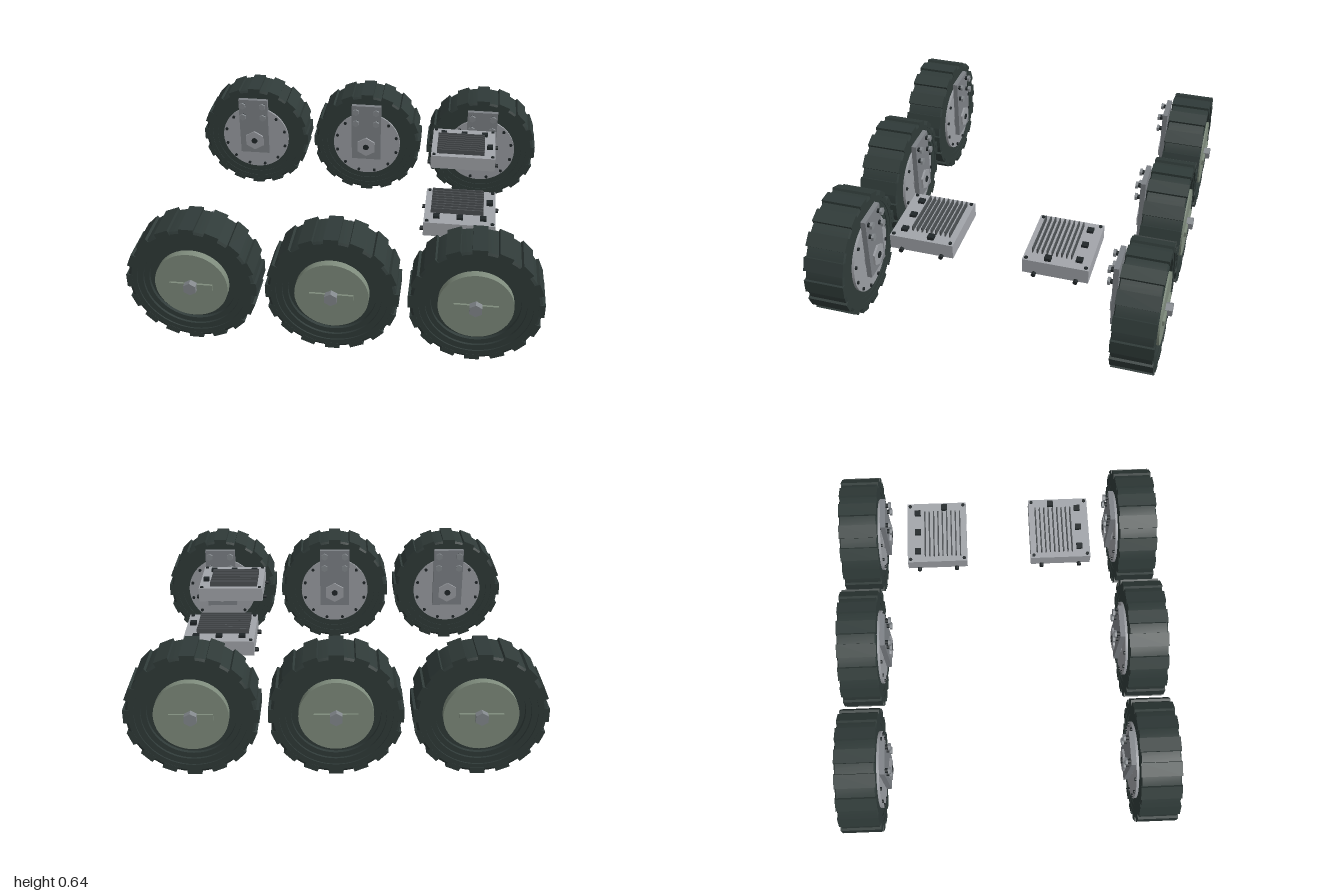
import * as THREE from 'three';
import { toCreasedNormals } from 'three/addons/utils/BufferGeometryUtils.js';

const mat = (name, color) => {
  const m = new THREE.MeshStandardMaterial({ color });
  m.name = name;
  return m;
};

export function createModel() {
  const rubber = mat('dark rubber', 0x2f3a38);
  const olive = mat('olive hub paint', 0x7e8b7c);
  const steel = mat('light steel', 0x9a9da2);
  const bracketGrey = mat('bracket grey', 0x7c8085);
  const boltGrey = mat('bolt grey', 0x83888c);
  const casing = mat('casing grey', 0xa2a5aa);
  const finGrey = mat('fin grey', 0x4c5053);
  const black = mat('black fittings', 0x202628);

  const add = (group, name, geo, material, x = 0, y = 0, z = 0) => {
    const mesh = new THREE.Mesh(geo, material);
    mesh.name = name;
    mesh.position.set(x, y, z);
    group.add(mesh);
    return mesh;
  };
  const box = (w, h, d) => new THREE.BoxGeometry(w, h, d);
  // Cylinder lying along z
  const disc = (r, d, n = 48) =>
    toCreasedNormals(new THREE.CylinderGeometry(r, r, d, n).rotateX(Math.PI / 2), 0.6);

  // Tyre: stepped sidewalls, from the inboard bead round to the outboard bead
  const outer = [[0.308, 0.096], [0.296, 0.102], [0.268, 0.102], [0.268, 0.095],
    [0.238, 0.095], [0.238, 0.083], [0.212, 0.083], [0.212, 0.065], [0.17, 0.065]];
  const inner = [[0.17, -0.095], [0.24, -0.095], [0.24, -0.099], [0.27, -0.099],
    [0.27, -0.102], [0.296, -0.102], [0.308, -0.096]];
  const profile = [...inner, ...outer].map(([r, a]) => new THREE.Vector2(r, a));
  const tyreGeo = toCreasedNormals(new THREE.LatheGeometry(profile, 64).rotateX(Math.PI / 2), 0.4);
  const lugGeo = box(0.07, 0.03, 0.206);
  const hubGeo = disc(0.178, 0.17);
  const flangeGeo = disc(0.2, 0.02);
  const rimBoltGeo = disc(0.009, 0.012, 8);
  const plateGeo = box(0.174, 0.35, 0.026);
  const bossGeo = disc(0.06, 0.012, 6);
  const axleGeo = disc(0.018, 0.016, 12);
  const shankGeo = disc(0.012, 0.022, 12);
  const headGeo = disc(0.02, 0.013, 6);
  const barGeo = box(0.21, 0.03, 0.012);
  const capGeo = disc(0.034, 0.036, 6);

  // Wheel with its outboard side facing +z
  function makeWheel() {
    const g = new THREE.Group();
    g.name = 'wheel';
    add(g, 'tyre', tyreGeo, rubber);
    for (let i = 0; i < 16; i++) {
      const a = (i / 16) * Math.PI * 2;
      const lug = add(g, 'treadLug', lugGeo, rubber, -0.304 * Math.sin(a), 0.304 * Math.cos(a), 0);
      lug.rotation.z = a;
    }
    add(g, 'hubDisc', hubGeo, olive, 0, 0, 0.019);
    add(g, 'hubBar', barGeo, olive, 0, 0, 0.109);
    add(g, 'hubNut', capGeo, boltGrey, 0, 0, 0.12);

    // Inboard flange with its ring of bolts
    add(g, 'flange', flangeGeo, steel, 0, 0, -0.098);
    for (let i = 0; i < 12; i++) {
      const a = ((i + 0.5) / 12) * Math.PI * 2;
      add(g, 'flangeBolt', rimBoltGeo, black, 0.184 * Math.cos(a), 0.184 * Math.sin(a), -0.11);
    }

    // Mounting plate, axle boss and four fixing bolts
    add(g, 'boss', disc(0.075, 0.022), steel, 0, 0, -0.113);
    add(g, 'mountingPlate', plateGeo, bracketGrey, 0, 0.09, -0.131);
    add(g, 'axleNut', bossGeo, steel, 0, 0, -0.149);
    add(g, 'axleEnd', axleGeo, black, 0, 0, -0.151);
    for (const x of [-0.06, 0.06]) for (const y of [0.162, 0.235]) {
      add(g, 'plateBoltShank', shankGeo, black, x, y, -0.152);
      add(g, 'plateBoltHead', headGeo, boltGrey, x, y, -0.166);
    }
    return g;
  }

  // Finned equipment box; s picks the side of the model
  function makeFinnedBox(s) {
    const g = new THREE.Group();
    g.name = 'finnedBox';
    const cx = 0.58;
    add(g, 'casing', box(0.352, 0.076, 0.322), casing, cx, 0.493, s * 0.334);
    for (let i = 0; i < 9; i++)
      add(g, 'coolingFin', box(0.26, 0.028, 0.006), finGrey, 0.565, 0.543, s * (0.208 + i * 0.0238));
    for (const x of [0.465, 0.58, 0.695])
      add(g, 'socket', box(0.032, 0.014, 0.032), black, x, 0.537, s * 0.438);
    add(g, 'switch', box(0.032, 0.018, 0.032), black, 0.725, 0.539, s * 0.292);
    const screw = new THREE.CylinderGeometry(0.009, 0.009, 0.008, 10);
    const knob = new THREE.CylinderGeometry(0.011, 0.011, 0.026, 10).rotateZ(Math.PI / 2);
    for (const side of [-1, 1]) {
      for (const z of [0.189, 0.479])
        add(g, 'cornerScrew', screw, black, cx + side * 0.16, 0.533, s * z);
      for (const z of [0.232, 0.436])
        add(g, 'sideKnob', knob, black, cx + side * 0.181, 0.459, s * z);
    }
    return g;
  }

  const model = new THREE.Group();
  model.name = 'sixWheelRunningGear';
  for (const s of [1, -1]) {
    for (const x of [-0.68, 0, 0.68]) {
      const wheel = makeWheel();
      wheel.position.set(x, 0.32, s * 0.757);
      if (s < 0) wheel.rotation.y = Math.PI;
      model.add(wheel);
    }
    model.add(makeFinnedBox(s));
  }
  return model;
}
